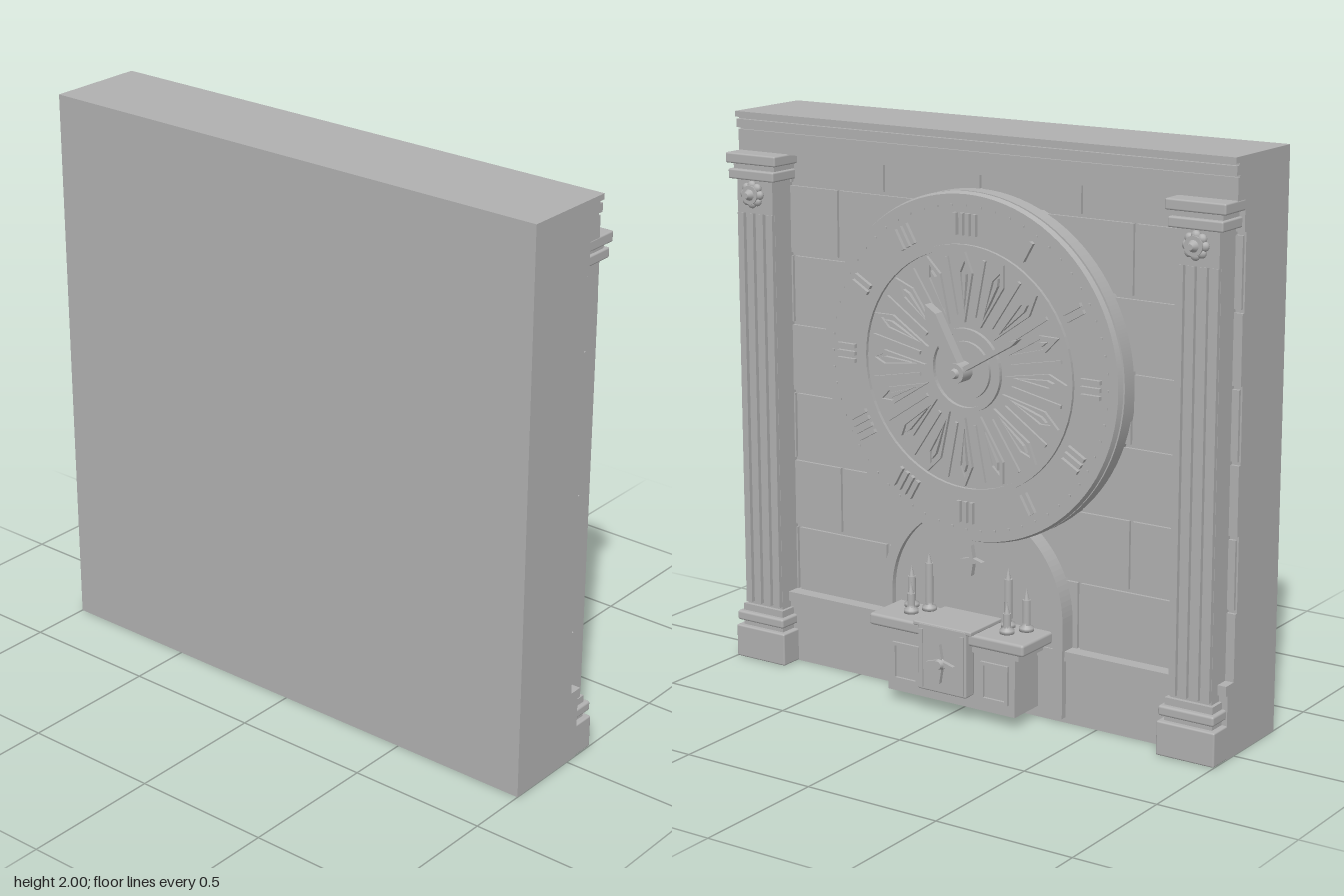
import * as THREE from 'three';
import { RoundedBoxGeometry } from 'three/addons/geometries/RoundedBoxGeometry.js';

export function createModel() {
  const model = new THREE.Group();
  model.name = 'clockWall';
  const stone = new THREE.MeshStandardMaterial({ color: 0xb0b0b0 });
  stone.name = 'stone grey';

  const add = (name, geometry, parent = model) => {
    const m = new THREE.Mesh(geometry, stone);
    m.name = name;
    parent.add(m);
    return m;
  };
  const group = (name, x = 0, y = 0, z = 0, parent = model) => {
    const g = new THREE.Group();
    g.name = name;
    g.position.set(x, y, z);
    parent.add(g);
    return g;
  };
  // Box given by its limits on each axis
  const box = (name, x0, x1, y0, y1, z0, z1, parent = model, round = 0) => {
    const s = [x1 - x0, y1 - y0, z1 - z0];
    const g = round ? new RoundedBoxGeometry(...s, 2, round) : new THREE.BoxGeometry(...s);
    const m = add(name, g, parent);
    m.position.set((x0 + x1) / 2, (y0 + y1) / 2, (z0 + z1) / 2);
    return m;
  };
  // Disc facing outwards
  const disc = (name, r, z0, z1, parent, sides = 64, r2 = r) => {
    const g = new THREE.CylinderGeometry(r2, r, z1 - z0, sides).rotateX(Math.PI / 2);
    g.translate(0, 0, (z0 + z1) / 2);
    return add(name, g, parent);
  };
  const slab = (shape, depth) => new THREE.ExtrudeGeometry(shape, { depth, bevelEnabled: false, curveSegments: 32 });
  const ring = (name, outer, inner, z0, z1, parent) => {
    const s = new THREE.Shape().absarc(0, 0, outer, 0, Math.PI * 2, false);
    s.holes.push(new THREE.Path().absarc(0, 0, inner, 0, Math.PI * 2, true));
    const m = add(name, slab(s, z1 - z0), parent);
    m.position.z = z0;
    return m;
  };
  const polygon = pts => new THREE.Shape(pts.map(p => new THREE.Vector2(...p)));
  const star = (name, r, z0, z1, parent) => {
    const pts = [];
    for (let i = 0; i < 8; i++) {
      const a = i * Math.PI / 4, q = i % 2 ? r * 0.25 : r;
      pts.push([q * Math.sin(a) * 0.8, q * Math.cos(a)]);
    }
    pts.reverse();
    const m = add(name, slab(polygon(pts), z1 - z0), parent);
    m.position.z = z0;
    return m;
  };

  // Wall with shallow stone blocks in running bond
  box('wall', -1, 1, 0, 2, -0.28, 0);
  const blocks = group('stoneBlocks');
  const gap = 0.006;
  for (let row = 1; row < 8; row++) {
    const y = row * 0.25;
    for (let x = row % 2 ? -1.2 : -1; x < 0.99; x += 0.4) {
      box('stoneBlock', Math.max(-1, x + gap), Math.min(1, x + 0.4 - gap), y + gap, y + 0.25 - gap, -0.005, 0.011, blocks);
    }
  }

  // Skirting and stepped cornice
  box('skirting', -1, 1, 0, 0.225, 0, 0.05);
  box('skirtingMoulding', -1, 1, 0.225, 0.26, 0, 0.062);
  const cornice = [[1.86, 1.935, 0.06], [1.935, 1.942, 0.05], [1.942, 1.972, 0.07], [1.972, 1.98, 0.055], [1.98, 2, 0.077]];
  for (const [y0, y1, z] of cornice) box('corniceStep', -1, 1, y0, y1, 0, z);

  // Fluted pilasters
  for (const side of [-1, 1]) {
    const p = group(side < 0 ? 'leftPilaster' : 'rightPilaster', side * 0.89);
    box('plinth', -0.11, 0.11, 0, 0.12, 0, 0.135, p, 0.006);
    box('baseNeck', -0.09, 0.09, 0.12, 0.14, 0, 0.115, p);
    box('baseMoulding', -0.105, 0.105, 0.14, 0.175, 0, 0.135, p, 0.008);
    box('baseCollar', -0.09, 0.09, 0.175, 0.2, 0, 0.115, p);
    box('shaft', -0.078, 0.078, 0.2, 1.77, 0, 0.1, p);
    for (const x of [-0.064, -0.022, 0.022, 0.064])
      box('shaftRib', x - 0.013, x + 0.013, 0.21, 1.65, 0.1, 0.115, p);
    box('shaftTop', -0.078, 0.078, 1.65, 1.77, 0.1, 0.112, p);
    box('lowerCapital', -0.1, 0.1, 1.77, 1.805, 0, 0.135, p, 0.006);
    box('capitalNeck', -0.09, 0.09, 1.805, 1.825, 0, 0.115, p);
    box('upperCapital', -0.11, 0.11, 1.825, 1.862, 0, 0.137, p, 0.006);
    const rosette = group('rosette', 0, 1.72, 0.11, p);
    for (let i = 0; i < 8; i++) {
      const a = i * Math.PI / 4;
      const petal = add('rosettePetal', new THREE.SphereGeometry(0.017, 10, 8).scale(1, 1, 0.8), rosette);
      petal.position.set(0.032 * Math.cos(a), 0.032 * Math.sin(a), 0.017);
    }
    disc('rosetteDisc', 0.033, 0, 0.034, rosette, 24);
    disc('rosetteHub', 0.02, 0.034, 0.055, rosette, 16, 0.01);
  }

  // Clock disc with grooved rim
  const clock = group('clock', 0, 1.2, 0);
  disc('clockBack', 0.605, 0, 0.07, clock, 96);
  disc('clockGroove', 0.59, 0.07, 0.08, clock, 96);
  disc('clockFace', 0.605, 0.08, 0.1, clock, 96, 0.598);
  ring('dialRing', 0.43, 0.412, 0.1, 0.112, clock);
  ring('hubRing', 0.145, 0.128, 0.1, 0.115, clock);
  disc('hubPlate', 0.1, 0.1, 0.112, clock, 48);

  // Sunburst petals, each a pointed frame with a raised core
  const petalPts = k => [[0, 0.165 + 0.03 * k], [0.03 - 0.012 * k, 0.335], [0, 0.405 - 0.03 * k], [-0.03 + 0.012 * k, 0.335]];
  const petalFrame = polygon(petalPts(0));
  petalFrame.holes.push(new THREE.Path(petalPts(1).reverse().map(p => new THREE.Vector2(...p))));
  const frameGeo = slab(petalFrame, 0.012);
  const coreGeo = slab(polygon([[0, 0.22], [0.008, 0.33], [0, 0.355], [-0.008, 0.33]]), 0.015);
  const rayGeo = new THREE.BoxGeometry(0.012, 0.2, 0.01).translate(0, 0.29, 0.005);
  for (let i = 0; i < 16; i++) {
    const ray = group('sunburstRay', 0, 0, 0.1, clock);
    ray.rotation.z = i * Math.PI / 8;
    add('petalFrame', frameGeo, ray);
    add('petalCore', coreGeo, ray);
    add('thinRay', rayGeo, ray).rotation.z = Math.PI / 16;
  }

  // Hour marks as clusters of bars
  const strokes = [4, 1, 2, 3, 3, 2, 3, 4, 4, 3, 2, 3];
  strokes.forEach((n, hour) => {
    const mark = group('hourMark', 0, 0, 0, clock);
    mark.rotation.z = -hour * Math.PI / 6;
    for (let i = 0; i < n; i++) {
      const x = (i - (n - 1) / 2) * 0.026;
      box('hourBar', x - 0.007, x + 0.007, 0.46, 0.535, 0.1, 0.115, mark);
    }
  });

  // Minute track
  const dot = new THREE.BoxGeometry(0.007, 0.007, 0.006);
  for (let i = 0; i < 60; i++) {
    const a = i * Math.PI / 30;
    add('minuteDot', dot, clock).position.set(0.56 * Math.sin(a), 0.56 * Math.cos(a), 0.101);
  }

  // Hands
  const hourHand = group('hourHand', 0, 0, 0.12, clock);
  hourHand.rotation.z = 0.53;
  add('hourBlade', slab(polygon([[-0.02, 0], [0.02, 0], [0.024, 0.21], [0, 0.255], [-0.024, 0.21]]), 0.04), hourHand);
  const minuteHand = group('minuteHand', 0, 0, 0.13, clock);
  minuteHand.rotation.z = -1.04;
  add('minuteBlade', slab(polygon([[-0.008, -0.04], [0.008, -0.04], [0.008, 0.25], [0, 0.28], [-0.008, 0.25]]), 0.03), minuteHand);
  disc('handHub', 0.034, 0.11, 0.17, clock, 32);
  disc('handCap', 0.018, 0.17, 0.183, clock, 24, 0.012);

  // Arch behind the altar
  const arch = new THREE.Shape();
  arch.moveTo(0.375, 0.02).lineTo(0.375, 0.36).absarc(0, 0.36, 0.375, 0, Math.PI, false);
  arch.lineTo(-0.375, 0.02).lineTo(-0.335, 0.02).lineTo(-0.335, 0.36);
  arch.absarc(0, 0.36, 0.335, Math.PI, 0, true).lineTo(0.335, 0.02);
  add('arch', slab(arch, 0.075));
  const niche = new THREE.Shape();
  niche.moveTo(0.335, 0.02).lineTo(0.335, 0.36).absarc(0, 0.36, 0.335, 0, Math.PI, false).lineTo(-0.335, 0.02);
  add('archPanel', slab(niche, 0.055));
  star('archStar', 0.055, 0.055, 0.075, group('archStarHolder', 0, 0.52));

  // Altar with side panels and cloth runner
  const altar = group('altar');
  box('altarBody', -0.265, 0.265, 0.04, 0.25, 0, 0.2, altar);
  box('altarMoulding', -0.29, 0.29, 0.25, 0.275, 0, 0.215, altar);
  box('altarTop', -0.32, 0.32, 0.275, 0.318, 0, 0.235, altar, 0.01);
  for (const s of [-1, 1]) {
    const panel = group('altarPanel', s * 0.185, 0.15, 0.2, altar);
    for (const t of [-1, 1]) {
      box('panelStile', t * 0.05 - 0.006, t * 0.05 + 0.006, -0.07, 0.07, 0, 0.01, panel);
      box('panelRail', -0.05, 0.05, t * 0.064 - 0.006, t * 0.064 + 0.006, 0, 0.01, panel);
    }
  }
  box('runnerTop', -0.12, 0.12, 0.316, 0.332, 0.06, 0.252, altar, 0.005);
  box('runnerFront', -0.1, 0.1, 0.09, 0.33, 0.2, 0.253, altar, 0.006);
  for (const s of [-1, 1]) box('runnerBorder', s * 0.085 - 0.008, s * 0.085 + 0.008, 0.1, 0.31, 0.25, 0.258, altar);
  const emblem = group('runnerStar', 0, 0.2, 0, altar);
  star('starPlate', 0.07, 0.253, 0.268, emblem);
  disc('starBoss', 0.022, 0.26, 0.28, emblem, 20, 0.014);

  // Candles
  const profile = [[0, 0], [0.026, 0], [0.026, 0.012], [0.014, 0.02], [0.014, 0.03]].map(p => new THREE.Vector2(...p));
  for (const s of [-1, 1]) {
    for (const [x, z, h] of [[0.165, 0.09, 0.17], [0.24, 0.09, 0.11], [0.2, 0.15, 0.07]]) {
      const c = group('candle', s * x, 0.318, z);
      add('candleDish', new THREE.LatheGeometry(profile, 16), c);
      add('candleStick', new THREE.CylinderGeometry(0.014, 0.014, h, 16), c).position.y = h / 2;
      add('flame', new THREE.ConeGeometry(0.01, 0.04, 12), c).position.y = h + 0.02;
    }
  }

  // The decorated side looks towards -z
  model.rotation.y = Math.PI;
  const root = new THREE.Group();
  root.name = 'clockWallModel';
  root.add(model);
  return root;
}
